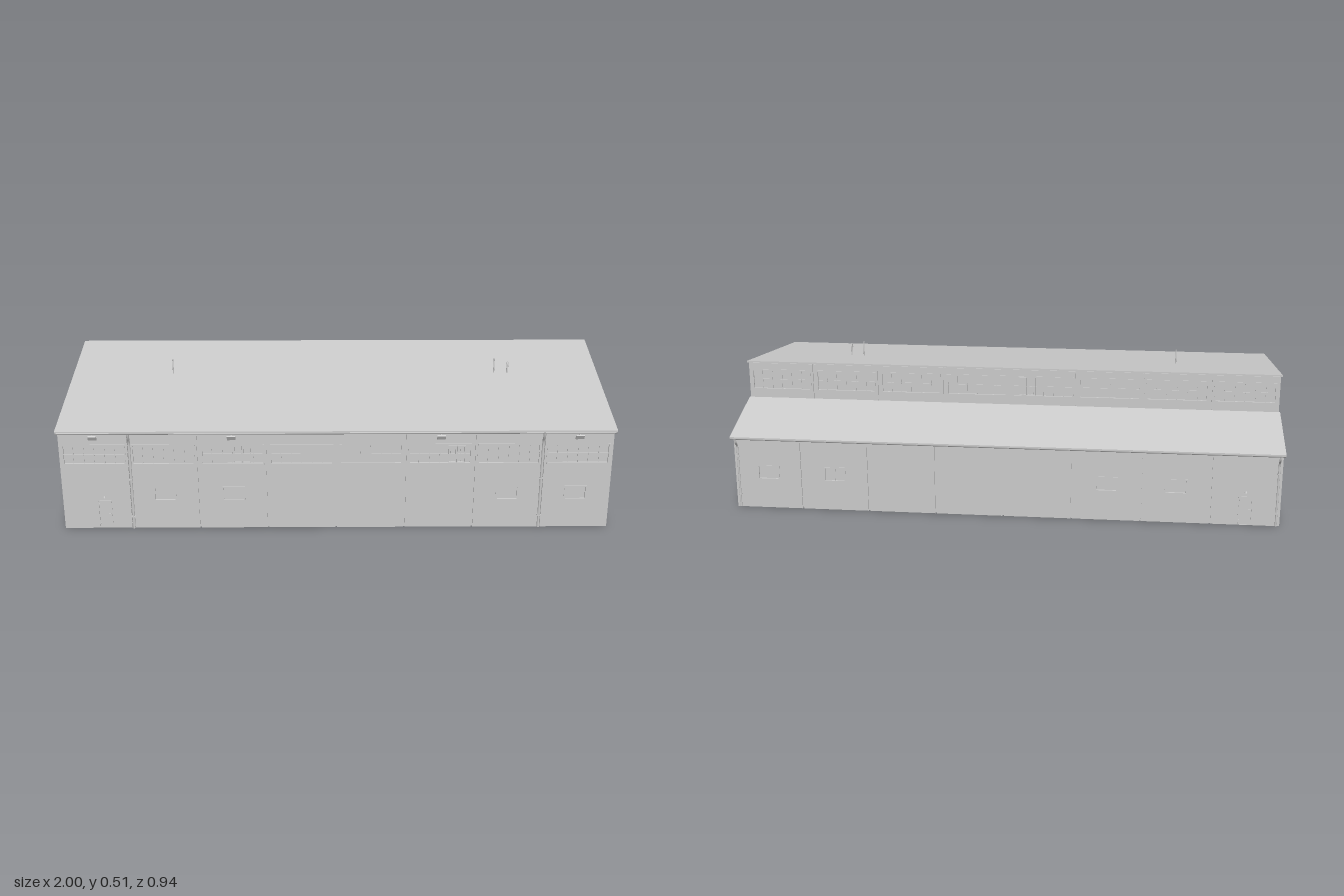
import * as THREE from 'three';

const T = 0.01; // wall thickness
const HALF = 0.995; // half length of the walls
const BAY = (2 * HALF) / 8;
const mat = new THREE.MeshStandardMaterial({ color: 0xcccccc, side: THREE.DoubleSide, flatShading: true });
const smooth = new THREE.MeshStandardMaterial({ color: 0xcccccc, side: THREE.DoubleSide });

function mesh(name, geometry, parent, material = mat) {
  const m = new THREE.Mesh(geometry, material);
  m.name = name;
  parent.add(m);
  return m;
}

function box(name, w, h, d, x, y, z, parent) {
  const m = mesh(name, new THREE.BoxGeometry(w, h, d), parent);
  m.position.set(x, y, z);
  return m;
}

const rectPoints = (cx, cy, w, h) => [[-1, -1], [1, -1], [1, 1], [-1, 1]]
  .map(([a, b]) => new THREE.Vector2(cx + a * w / 2, cy + b * h / 2));

// flat plate with rectangular holes; holes are {x, y, w, h} by centre
function plate(points, holes, depth) {
  const shape = new THREE.Shape(points);
  for (const o of holes) shape.holes.push(new THREE.Path(rectPoints(o.x, o.y, o.w, o.h)));
  return new THREE.ExtrudeGeometry(shape, { depth, bevelEnabled: false });
}

// section drawn in (z, y) and extruded along x, from x down to x - depth
function section(pairs, holes, depth, x) {
  return plate(pairs.map(p => new THREE.Vector2(...p)), holes, depth).rotateY(-Math.PI / 2).translate(x, 0, 0);
}

// window in an opening o, facing +z with the wall face at z = 0
function addWindow(o, parent) {
  const g = new THREE.Group();
  g.name = o.name;
  g.position.set(o.x, o.y, 0);
  parent.add(g);
  const f = 0.004;
  const frame = plate(rectPoints(0, 0, o.w + 0.002, o.h + 0.002), [{ x: 0, y: 0, w: o.w - 2 * f, h: o.h - 2 * f }], T + 0.002);
  mesh('windowFrame', frame.translate(0, 0, -T), g);
  box('glassPane', o.w - f, o.h - f, 0.002, 0, 0, -0.006, g);
  for (let i = 1; i < o.nx; i++) box('mullion', 0.002, o.h - f, 0.005, (i / o.nx - 0.5) * o.w, 0, -0.005, g);
  for (let i = 1; i < o.ny; i++) box('transom', o.w - f, 0.002, 0.005, 0, (i / o.ny - 0.5) * o.h, -0.005, g);
  // opening sash inside a long window band
  if (o.sash !== undefined) {
    for (const s of [-1, 1]) {
      const sash = plate(rectPoints(0, 0, 0.03, o.h - 0.01), [{ x: 0, y: 0, w: 0.024, h: o.h - 0.016 }], 0.006);
      mesh('openingSash', sash, g).position.set(o.sash + s * 0.016, 0, -0.005);
    }
  }
}

// personnel door with hinges, handle and lamp
function addDoor(o, parent) {
  const g = new THREE.Group();
  g.name = 'door';
  g.position.x = o.x;
  parent.add(g);
  box('doorLeaf', o.w, o.h, 0.005, 0, o.y, -0.005, g);
  for (const s of [-1, 1]) box('doorJamb', 0.002, o.h, T + 0.002, s * o.w / 2, o.y, -T / 2 + 0.001, g);
  box('doorHead', o.w, 0.002, T + 0.002, 0, o.y + o.h / 2, -T / 2 + 0.001, g);
  for (const y of [0.018, 0.095]) box('hinge', 0.003, 0.007, 0.004, -o.w / 2 + 0.003, y, -0.001, g);
  box('handle', 0.008, 0.002, 0.005, o.w / 2 - 0.008, 0.058, 0, g);
  const lamp = mesh('doorLamp', new THREE.CylinderGeometry(0.003, 0.005, 0.005, 10), g, smooth);
  lamp.position.set(0, 0.128, 0.004);
}

const addOpening = (o, parent) => (o.name === 'door' ? addDoor : addWindow)(o, parent);
const smallWindow = (x, nx = 1) => ({ name: 'window', x, y: 0.138, w: 0.08, h: 0.055, nx, ny: 1 });
const door = x => ({ name: 'door', x, y: 0.056, w: 0.047, h: 0.108 });
const band = (y, sash) => ({ name: 'windowBand', x: 0, y, w: BAY - 0.024, h: 0.078, nx: 6, ny: 2, sash });

// row of eight wall panels with recessed joints, outer face on local z = 0
function wallRow(name, y0, y1, openingsOf) {
  const row = new THREE.Group();
  row.name = name;
  for (let i = 0; i < 8; i++) {
    const bay = new THREE.Group();
    bay.name = 'wallBay';
    bay.position.x = -HALF + (i + 0.5) * BAY;
    row.add(bay);
    const openings = openingsOf(i);
    const panel = plate(rectPoints(0, (y0 + y1) / 2, BAY - 0.006, y1 - y0), openings, T);
    mesh('wallPanel', panel.translate(0, 0, -T), bay);
    openings.forEach(o => addOpening(o, bay));
    if (i) box('panelJoint', 0.008, y1 - y0, 0.004, -BAY / 2, (y0 + y1) / 2, -T + 0.002, bay);
  }
  return row;
}

// end wall with two gateways
function endWall(side, extra) {
  const g = new THREE.Group();
  g.name = side > 0 ? 'leftEndWall' : 'rightEndWall';
  const gates = [[0.352, 0.145], [0.055, -0.15]], top = 0.21;
  const outline = [[0.4425, 0]];
  for (const [a, b] of gates) outline.push([a, 0], [a, top], [b, top], [b, 0]);
  outline.push([-0.437, 0], [-0.437, 0.284], [-0.2, 0.348], [-0.2, 0.489], [0.4425, 0.392]);
  const openings = [0.25, -0.047].map(z => ({ name: 'highWindow', x: z, y: 0.295, w: 0.217, h: 0.078, nx: 6, ny: 2 }));
  openings.push(extra);
  mesh('wallPanel', section(outline, openings, T, side > 0 ? HALF : -HALF + T), g);
  // fittings drawn facing +z, then turned to face the end
  const fittings = new THREE.Group();
  fittings.name = 'fittings';
  fittings.rotation.y = side * Math.PI / 2;
  fittings.position.x = side * HALF;
  openings.forEach(o => addOpening({ ...o, x: -side * o.x }, fittings));
  g.add(fittings);
  for (const [a, b] of gates) {
    for (const z of [a, b]) box('gatePost', T + 0.004, top, 0.004, side * (HALF - T / 2), top / 2, z, g);
    box('gateLintel', T + 0.004, 0.004, a - b, side * (HALF - T / 2), top, (a + b) / 2, g);
  }
  return g;
}

function tube(name, points, r, parent) {
  const path = new THREE.CurvePath();
  const v = points.map(p => new THREE.Vector3(...p));
  const last = v.pop();
  path.add(new THREE.CatmullRomCurve3(v));
  path.add(new THREE.LineCurve3(v[v.length - 1], last));
  return mesh(name, new THREE.TubeGeometry(path, 28, r, 8), parent, smooth);
}

// half-round gutter with two downpipes
function gutter(s, z, y, wallZ, r, pipeX) {
  const g = new THREE.Group();
  g.name = s > 0 ? 'frontGutter' : 'backGutter';
  const trough = new THREE.CylinderGeometry(0.007, 0.007, 1.996, 10, 1, true, 0, Math.PI).rotateZ(-Math.PI / 2);
  mesh('trough', trough, g, smooth).position.set(0, y, z);
  const pz = wallZ + s * r;
  for (const x of [-pipeX, pipeX]) {
    tube('downpipe', [[x, y - 0.004, z], [x, y - 0.017, z - s * 0.001], [x, y - 0.034, pz + s * 0.003],
      [x, y - 0.045, pz], [x, 0.002, pz]], r, g);
    for (const h of [0.05, 0.2]) box('pipeBracket', 2.6 * r, 0.004, 2 * r, x, h, pz, g);
  }
  return g;
}

export function createModel() {
  const model = new THREE.Group();
  model.name = 'industrialHall';

  // long walls
  const front = wallRow('frontWall', 0, 0.391, i => {
    const list = [band(0.295, { 2: 0.035, 5: 0.06 }[i])];
    if (i === 0) list.push(door(0.027));
    if ([1, 2, 6, 7].includes(i)) list.push(smallWindow(0));
    return list;
  });
  front.position.z = 0.4425;
  const back = wallRow('backWall', 0, 0.284, i => {
    if (i === 7) return [door(0)];
    return [0, 1, 5, 6].includes(i) ? [smallWindow(0, i === 1 ? 2 : 1)] : [];
  });
  back.rotation.y = Math.PI;
  back.position.z = -0.437;
  const clerestory = wallRow('clerestoryWall', 0.345, 0.489, i => [band(0.425, i === 4 ? -0.06 : undefined)]);
  clerestory.rotation.y = Math.PI;
  clerestory.position.z = -0.2;
  model.add(front, back, clerestory);

  // end walls
  model.add(endWall(1, door(-0.305)), endWall(-1, smallWindow(-0.305)));

  // roofs
  const roof = (name, z0, y0, z1, y1) =>
    mesh(name, section([[z0, y0], [z0, y0 - 0.006], [z1, y1 - 0.006], [z1, y1]], [], 2, 1), model);
  roof('mainRoof', 0.4675, 0.396, -0.208, 0.498);
  roof('lowerRoof', -0.2, 0.354, -0.468, 0.282);

  // gutters and downpipes
  model.add(gutter(1, 0.461, 0.389, 0.4425, 0.005, 0.742));
  model.add(gutter(-1, -0.46, 0.277, -0.437, 0.0038, 0.982));

  // floodlights under the front eave
  for (const x of [-0.87, -0.375, 0.375, 0.87]) {
    const lamp = new THREE.Group();
    lamp.name = 'floodlight';
    lamp.position.set(x, 0.365, 0.4425);
    box('lampArm', 0.005, 0.005, 0.012, 0, 0.005, 0.005, lamp);
    box('lampHead', 0.03, 0.018, 0.006, 0, 0, 0.012, lamp).rotation.x = 0.5;
    model.add(lamp);
  }

  // roof vents
  for (const x of [-0.62, 0.605]) {
    const pole = mesh('ventPole', new THREE.CylinderGeometry(0.0022, 0.0022, 0.062, 8), model, smooth);
    pole.position.set(x, 0.484, 0.053);
  }
  tube('gooseneckVent', [[0.655, 0.488, 0.071], [0.655, 0.498, 0.069], [0.655, 0.503, 0.062],
    [0.655, 0.498, 0.055], [0.655, 0.49, 0.054], [0.655, 0.452, 0.054]], 0.0025, model);
  return model;
}
